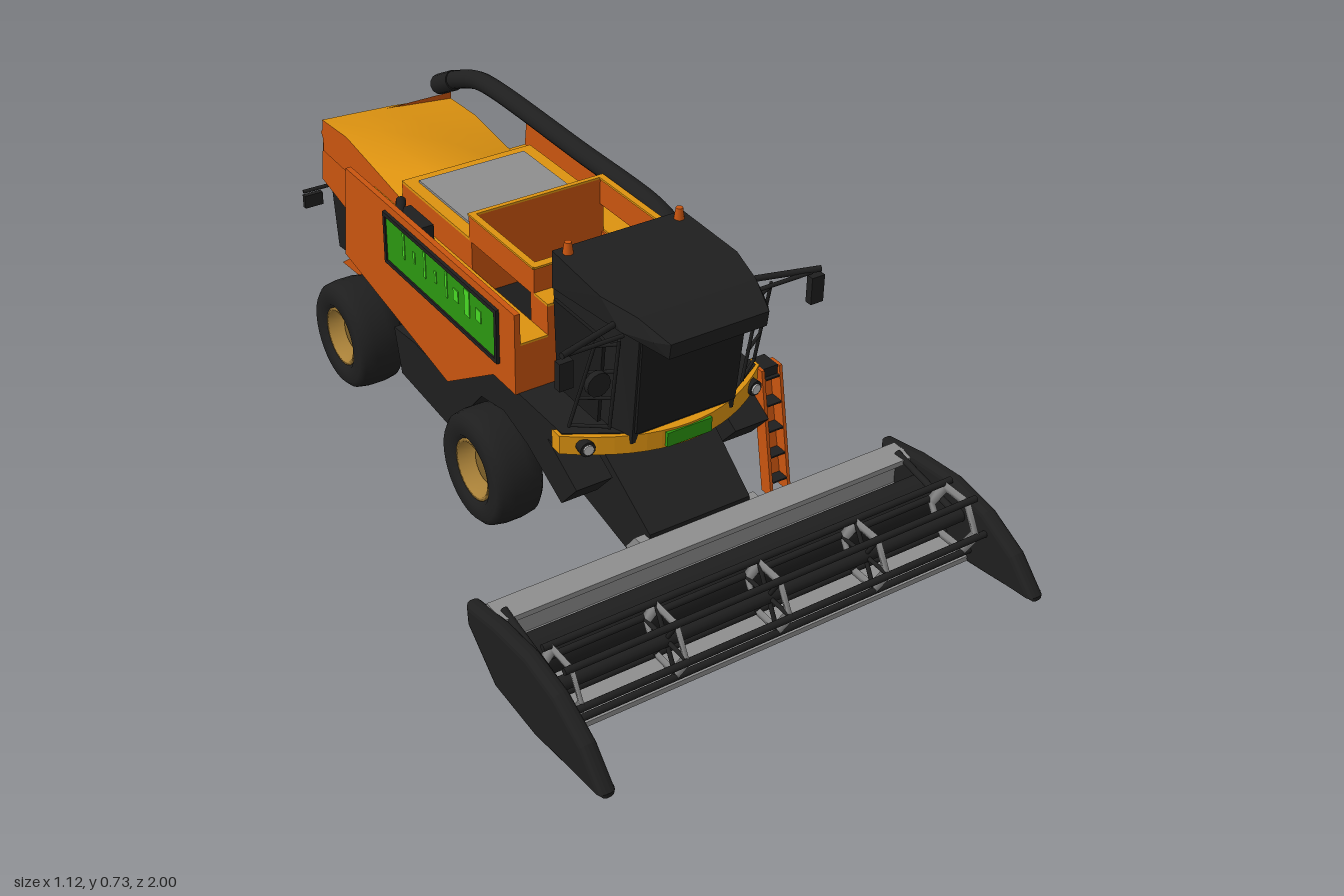
import * as THREE from 'three';
import { ConvexGeometry } from 'three/addons/geometries/ConvexGeometry.js';

const mat = (name, color, extra = {}) =>
  Object.assign(new THREE.MeshStandardMaterial({ color, ...extra }), { name });

export function createModel() {
  const root = new THREE.Group();
  root.name = 'combineHarvester';
  const orange = mat('orange', 0xc9540f);
  const yellow = mat('yellow', 0xdc9210, { side: THREE.DoubleSide });
  const black = mat('black', 0x1f1f1f);
  const glass = mat('darkGlass', 0x1a1a1a);
  const grey = mat('grey', 0x8e8e8e);
  const green = mat('green', 0x2c9610);
  const lime = mat('lime', 0x48d824);
  const gold = mat('hubGold', 0xa88038);
  const darkGold = mat('hubDarkGold', 0x80622a);
  const lamp = mat('lampWhite', 0xc0c0c0);

  // ---- helpers ----
  const V = (p) => new THREE.Vector3(...p);
  const add = (name, geo, m, parent = root) => {
    const mesh = new THREE.Mesh(geo, m);
    mesh.name = name;
    parent.add(mesh);
    return mesh;
  };
  // box given by its minimum and maximum corners
  const box = (name, m, a, b, parent) => {
    const g = new THREE.BoxGeometry(b[0] - a[0], b[1] - a[1], b[2] - a[2]);
    g.translate((a[0] + b[0]) / 2, (a[1] + b[1]) / 2, (a[2] + b[2]) / 2);
    return add(name, g, m, parent);
  };
  // side profile of [z, y] points extruded from x0 to x1
  const plate = (name, m, pts, x0, x1, parent, bevel = 0) => {
    const g = new THREE.ExtrudeGeometry(new THREE.Shape(pts.map((p) => new THREE.Vector2(...p))), {
      depth: x1 - x0 - 2 * bevel, bevelEnabled: bevel > 0, bevelThickness: bevel,
      bevelSize: bevel, bevelOffset: -bevel, bevelSegments: 3,
    });
    g.rotateY(-Math.PI / 2).translate(x1 - bevel, 0, 0);
    return add(name, g, m, parent);
  };
  // convex solid from half points, mirrored in x
  const hull = (name, m, pts, parent) =>
    add(name, new ConvexGeometry(pts.flatMap(([x, y, z]) => [V([x, y, z]), V([-x, y, z])])), m, parent);
  const rod = (name, m, a, b, r, parent, r2 = r) => {
    const d = V(b).sub(V(a));
    const mesh = add(name, new THREE.CylinderGeometry(r2, r, d.length(), 12), m, parent);
    mesh.position.copy(V(a).add(V(b)).multiplyScalar(0.5));
    mesh.quaternion.setFromUnitVectors(new THREE.Vector3(0, 1, 0), d.normalize());
    return mesh;
  };
  // builds the +x version of a part group and its mirror image
  const bothSides = (name, build) => {
    for (const s of [1, -1]) {
      const g = new THREE.Group();
      g.name = (s > 0 ? 'left' : 'right') + name;
      g.scale.x = s;
      build(g);
      root.add(g);
    }
  };

  // ---- main body: centre with open grain tank ----
  plate('bodyCentre', orange, [[0.185, 0.38], [0.185, 0.575], [0.115, 0.575], [0.115, 0.43], [-0.14, 0.43],
    [-0.14, 0.575], [-0.47, 0.575], [-0.47, 0.48], [-0.62, 0.48], [-0.63, 0.33], [-0.125, 0.25], [0.07, 0.38]], -0.175, 0.175);
  box('tankFloor', glass, [-0.165, 0.43, -0.14], [0.165, 0.436, 0.115]);
  box('tankFrontWall', orange, [-0.175, 0.575, 0.115], [0.175, 0.64, 0.13]);
  box('tankRearWall', orange, [-0.165, 0.575, -0.148], [0.165, 0.64, -0.14]);
  box('tankRearPlate', grey, [-0.03, 0.58, -0.152], [0.165, 0.635, -0.148]);
  box('tankFrontRim', yellow, [-0.175, 0.64, 0.112], [0.175, 0.645, 0.133]);
  box('tankRearRim', yellow, [-0.175, 0.64, -0.15], [0.175, 0.645, -0.138]);
  box('frontDeck', yellow, [-0.175, 0.575, 0.13], [0.175, 0.581, 0.185]);
  box('rearDeck', yellow, [-0.175, 0.575, -0.47], [0.175, 0.582, -0.15]);
  box('engineCover', grey, [-0.145, 0.58, -0.44], [0.14, 0.588, -0.18]);

  const sideProfile = [[0.185, 0.38], [0.185, 0.58], [-0.6, 0.58], [-0.632, 0.33], [-0.125, 0.24], [0.09, 0.38]];
  bothSides('BodySide', (g) => {
    plate('sidePanel', orange, sideProfile, 0.243, 0.257, g);
    plate('shoulder', orange, sideProfile.map(([z, y]) => [z, Math.min(y, 0.5)]), 0.17, 0.243, g);
    box('shoulderDeck', yellow, [0.175, 0.5, -0.61], [0.243, 0.505, 0.185], g);
    box('tankSideWall', orange, [0.165, 0.575, -0.15], [0.175, 0.64, 0.13], g);
    box('tankSideRim', yellow, [0.162, 0.64, -0.15], [0.178, 0.645, 0.13], g);
    // framed side window with bright slats
    box('sideWindow', green, [0.257, 0.43, -0.395], [0.261, 0.555, 0.115], g);
    for (const y of [0.425, 0.55]) box('windowFrameRail', black, [0.257, y, -0.4], [0.265, y + 0.01, 0.12], g);
    for (const z of [-0.4, 0.11]) box('windowFramePost', black, [0.257, 0.425, z], [0.265, 0.56, z + 0.01], g);
    for (let i = 0; i < 8; i++) {
      const z = 0.05 - i * 0.05, h = 0.02 + 0.012 * ((i * 2) % 4), w = i < 3 ? 0.022 : 0.009;
      box('windowSlat', lime, [0.261, 0.5 - h / 2, z - w], [0.263, 0.5 + h, z], g);
    }
    box('rearMarker', grey, [0.19, 0.39, -0.632], [0.235, 0.45, -0.615], g);
    // dark lower flank, wheel arch and rear skirts
    plate('frontFender', black, [[0.42, 0.27], [0.25, 0.365], [0.17, 0.385], [0.07, 0.375], [-0.125, 0.245], [-0.3, 0.25],
      [-0.4, 0.24], [-0.37, 0.125], [-0.04, 0.1], [-0.05, 0.2], [0.02, 0.28], [0.12, 0.3], [0.22, 0.27], [0.36, 0.2]],
    0.16, 0.25, g);
    plate('rearFender', orange, [[-0.38, 0.18], [-0.42, 0.285], [-0.62, 0.335], [-0.63, 0.27],
      [-0.56, 0.3], [-0.46, 0.26]], 0.185, 0.215, g);
    plate('rearSkirt', orange, [[-0.56, 0.33], [-0.63, 0.33], [-0.82, 0.19], [-0.68, 0.2], [-0.6, 0.28]], 0.172, 0.18, g);
    rod('rearLampArm', black, [0.17, 0.38, -0.89], [0.24, 0.375, -0.9], 0.005, g);
    box('rearLamp', black, [0.19, 0.33, -0.905], [0.24, 0.365, -0.892], g);
    box('rearLampLens', orange, [0.195, 0.335, -0.909], [0.22, 0.36, -0.905], g);
  });
  box('airIntake', black, [-0.245, 0.505, -0.39], [-0.195, 0.56, -0.28]);
  rod('intakeElbow', black, [-0.235, 0.55, -0.37], [-0.2, 0.555, -0.43], 0.012);

  // ---- rear hood ----
  hull('hoodBody', orange, [[0.178, 0.48, -0.55], [0.178, 0.52, -0.75], [0.178, 0.53, -0.89], [0.178, 0.39, -0.915],
    [0.178, 0.33, -0.63], [0.178, 0.33, -0.55]]);
  // each row: z, then heights across the hood
  const rows = [[-0.47, 0.535, 0.578, 0.578, 0.51], [-0.6, 0.555, 0.578, 0.576, 0.525],
    [-0.75, 0.577, 0.578, 0.573, 0.545], [-0.885, 0.568, 0.564, 0.557, 0.54]];
  const xs = [-0.18, -0.1, 0.02, 0.18], pos = [], idx = [];
  rows.forEach(([z, ...ys]) => xs.forEach((x, i) => pos.push(x, ys[i], z)));
  for (let r = 0; r < 3; r++) for (let c = 0; c < 3; c++) {
    const a = r * 4 + c, b = a + 4;
    idx.push(a, a + 1, b, a + 1, b + 1, b);
  }
  const hoodGeo = new THREE.BufferGeometry();
  hoodGeo.setAttribute('position', new THREE.Float32BufferAttribute(pos, 3));
  hoodGeo.setIndex(idx);
  hoodGeo.computeVertexNormals();
  add('hoodTop', hoodGeo, yellow);
  // orange side strips under the hood edges
  for (const [x, i] of [[-0.18, 1], [0.176, 4]])
    plate('hoodSide', orange, [...rows.map((r) => [r[0], r[i]]), [-0.89, 0.48], [-0.47, 0.47]], x, x + 0.004);
  hull('hoodTailTop', orange, [[0.18, 0.56, -0.872], [0.18, 0.53, -0.897], [0.18, 0.5, -0.88]]);
  hull('rearWindow', green, [[0.14, 0.52, -0.896], [0.14, 0.41, -0.915], [0.14, 0.52, -0.9], [0.14, 0.41, -0.92]]);
  for (let i = 0; i < 4; i++) {
    const slat = box('rearWindowSlat', lime, [-0.009, -0.02, -0.002], [0.009, 0.02, 0.002]);
    slat.position.set(-0.09 + i * 0.055, 0.465, -0.911);
    slat.rotation.x = 0.18;
  }
  hull('strawChute', black, [[0.17, 0.34, -0.62], [0.165, 0.385, -0.89], [0.15, 0.19, -0.9], [0.15, 0.2, -0.8], [0.17, 0.31, -0.64]]);
  plate('chuteApron', orange, [[-0.6, 0.335], [-0.64, 0.31], [-0.73, 0.248], [-0.73, 0.24], [-0.63, 0.303], [-0.6, 0.325]], -0.172, 0.172);

  // ---- underbody ----
  plate('underbody', black, [[0.25, 0.35], [-0.62, 0.34], [-0.6, 0.24], [-0.37, 0.13], [-0.04, 0.09], [0.2, 0.16]], -0.17, 0.17);
  rod('frontAxle', black, [-0.25, 0.15, 0.097], [0.25, 0.15, 0.097], 0.035);
  rod('rearAxle', black, [-0.25, 0.15, -0.557], [0.25, 0.15, -0.557], 0.028);
  box('rearAxleMount', black, [-0.05, 0.14, -0.6], [0.05, 0.27, -0.5]);

  // ---- wheels ----
  const lathe = (pts, n) => new THREE.LatheGeometry(pts.map((p) => new THREE.Vector2(...p)), n);
  const tyreProfile = [[0.07, -0.045], [0.085, -0.06], [0.118, -0.06], [0.131, -0.048], [0.136, -0.02], [0.136, 0.02],
    [0.131, 0.048], [0.118, 0.06], [0.085, 0.06], [0.07, 0.045]];
  bothSides('Wheels', (g) => {
    for (const z of [0.097, -0.557]) {
      const w = new THREE.Group();
      w.name = z > 0 ? 'frontWheel' : 'rearWheel';
      w.position.set(0.268, 0.152, z);
      w.rotation.z = -Math.PI / 2;
      add('tyre', lathe(tyreProfile, 36), black, w);
      add('rim', lathe([[0, -0.05], [0.072, -0.05], [0.074, 0.052], [0.066, 0.052], [0.05, 0.015], [0, 0.015]], 28), gold, w);
      add('hubCap', lathe([[0.045, 0.015], [0.043, 0.02], [0, 0.02]], 24), darkGold, w);
      g.add(w);
    }
  });

  // ---- cab ----
  hull('cabShell', black, [[0.15, 0.355, 0.187], [0.165, 0.69, 0.187], [0.15, 0.355, 0.39], [0.13, 0.36, 0.445],
    [0.16, 0.66, 0.43], [0.135, 0.66, 0.475]]);
  hull('windscreen', glass, [[0.126, 0.39, 0.448], [0.13, 0.63, 0.47], [0.126, 0.39, 0.456], [0.13, 0.63, 0.478]]);
  hull('cabRoof', black, [[0.165, 0.71, 0.187], [0.165, 0.62, 0.187], [0.17, 0.7, 0.38], [0.165, 0.65, 0.45],
    [0.145, 0.693, 0.48], [0.14, 0.66, 0.53], [0.12, 0.665, 0.562], [0.12, 0.628, 0.557], [0.14, 0.64, 0.47]]);
  hull('cabPlatform', black, [[0.25, 0.335, 0.187], [0.25, 0.382, 0.187], [0.25, 0.382, 0.362], [0.25, 0.335, 0.35],
    [0.12, 0.335, 0.435], [0.12, 0.382, 0.44]]);
  bothSides('CabFittings', (g) => {
    plate('sideGlass', glass, [[0.22, 0.4], [0.38, 0.4], [0.41, 0.62], [0.22, 0.62]], 0.152, 0.16, g).rotation.z = -0.035;
    rod('beacon', orange, [0.14, 0.7, 0.21], [0.14, 0.735, 0.21], 0.013, g, 0.008);
    rod('mirrorArm', black, [0.15, 0.655, 0.42], [0.32, 0.66, 0.475], 0.007, g);
    rod('mirrorBrace', black, [0.16, 0.64, 0.45], [0.3, 0.655, 0.47], 0.005, g);
    box('mirror', black, [0.295, 0.58, 0.462], [0.328, 0.645, 0.48], g);
    // handrails beside the cab
    rod('outerRail', black, [0.238, 0.4, 0.37], [0.218, 0.64, 0.44], 0.004, g);
    rod('innerRail', black, [0.17, 0.4, 0.42], [0.175, 0.64, 0.46], 0.004, g);
    for (const t of [0.02, 0.35, 0.65, 0.95])
      rod('railBar', black, [0.238 - 0.02 * t, 0.4 + 0.24 * t, 0.37 + 0.07 * t], [0.17, 0.4 + 0.24 * t, 0.42 + 0.04 * t], 0.004, g);
    rod('headlampBezel', black, [0.211, 0.357, 0.37], [0.216, 0.357, 0.411], 0.018, g);
    rod('headlamp', lamp, [0.211, 0.357, 0.38], [0.216, 0.357, 0.415], 0.012, g);
  });
  rod('roundMirror', black, [-0.215, 0.54, 0.435], [-0.215, 0.54, 0.45], 0.028);

  // curved front bumper
  const arc = (off, n = 16) => Array.from({ length: n + 1 }, (_, i) => {
    const x = -0.258 + (0.516 * i) / n;
    return new THREE.Vector2(x, -(0.468 - 1.55 * x * x - off));
  });
  const bumperShape = new THREE.Shape([...arc(0), ...arc(0.03).reverse()]);
  const bumper = new THREE.ExtrudeGeometry(bumperShape, { depth: 0.045, bevelEnabled: false });
  add('bumper', bumper.rotateX(-Math.PI / 2).translate(0, 0.335, 0), yellow);
  box('bumperPlate', green, [-0.057, 0.34, 0.462], [0.057, 0.375, 0.471]);

  // ---- ladder ----
  const ladder = new THREE.Group();
  ladder.name = 'ladder';
  root.add(ladder);
  for (const x of [0.25, 0.298])
    plate('ladderRail', orange, [[0.35, 0.375], [0.385, 0.375], [0.445, 0.07], [0.41, 0.07]], x, x + 0.008, ladder);
  plate('ladderBack', orange, [[0.35, 0.345], [0.355, 0.345], [0.415, 0.08], [0.41, 0.08]], 0.255, 0.3, ladder);
  for (let i = 0; i < 5; i++) {
    const y = 0.1 + i * 0.062, z = 0.422 - i * 0.0122;
    box('tread', black, [0.256, y, z - 0.018], [0.299, y + 0.004, z + 0.016], ladder);
  }
  box('ladderLanding', black, [0.258, 0.345, 0.33], [0.298, 0.375, 0.38], ladder);

  // ---- unloading auger ----
  const augerPath = new THREE.CatmullRomCurve3([[0.207, 0.5, 0.13], [0.207, 0.575, 0.125], [0.207, 0.615, 0.08], [0.207, 0.63, 0.02],
    [0.207, 0.632, -0.3], [0.207, 0.632, -0.7], [0.207, 0.622, -0.78], [0.207, 0.585, -0.88], [0.207, 0.535, -0.98]].map(V));
  add('unloadingAuger', new THREE.TubeGeometry(augerPath, 60, 0.024, 14), black);
  rod('augerSpout', black, [0.207, 0.575, -0.9], [0.207, 0.53, -0.985], 0.027);
  rod('augerBase', black, [0.207, 0.5, 0.13], [0.207, 0.57, 0.13], 0.029);

  // ---- feeder house ----
  hull('feederHouse', black, [[0.14, 0.34, 0.2], [0.14, 0.32, 0.3], [0.13, 0.17, 0.52], [0.13, 0.06, 0.52], [0.14, 0.14, 0.2]]);
  hull('feederFrame', grey, [[0.155, 0.16, 0.5], [0.155, 0.16, 0.53], [0.15, 0.03, 0.53], [0.15, 0.03, 0.51], [0.15, 0.11, 0.46]]);
  rod('liftCrossBar', yellow, [-0.13, 0.11, 0.21], [0.13, 0.11, 0.21], 0.012);
  bothSides('Lift', (g) => {
    rod('liftCylinder', yellow, [0.1, 0.11, 0.2], [0.1, 0.095, 0.34], 0.014, g);
    rod('liftPiston', lamp, [0.1, 0.095, 0.34], [0.1, 0.08, 0.48], 0.007, g);
    rod('liftStrut', yellow, [0.09, 0.11, 0.21], [0.03, 0.11, 0.1], 0.01, g);
  });

  // ---- cutting header ----
  plate('headerTrough', grey, [[0.8, 0.015], [0.8, 0.028], [0.6, 0.028], [0.545, 0.07], [0.545, 0.152], [0.59, 0.152],
    [0.59, 0.165], [0.525, 0.165], [0.525, 0.06], [0.59, 0.012]], -0.53, 0.53);
  rod('headerAuger', black, [-0.525, 0.083, 0.63], [0.525, 0.083, 0.63], 0.05);
  bothSides('Divider', (g) => {
    plate('divider', black, [[1.0, 0.045], [0.93, 0.115], [0.83, 0.165], [0.72, 0.185], [0.6, 0.175], [0.485, 0.152],
      [0.49, 0.1], [0.6, 0.012], [0.76, 0.002], [0.86, 0.015], [1.0, 0.035]], 0.522, 0.56, g, 0.014);
    rod('reelArm', black, [0.51, 0.165, 0.56], [0.51, 0.125, 0.765], 0.008, g);
  });
  // reel: six bars on dark spokes, with grey hexagonal end and middle rings
  const cy = 0.12, cz = 0.765, R = 0.08;
  rod('reelShaft', black, [-0.52, cy, cz], [0.52, cy, cz], 0.016);
  for (let i = 0; i < 6; i++) {
    const a = (i * Math.PI) / 3, y = cy + R * Math.sin(a), z = cz + R * Math.cos(a);
    rod('reelBar', black, [-0.52, y, z], [0.52, y, z], 0.008);
    for (const x of [-0.255, 0, 0.255]) rod('reelSpoke', black, [x, cy, cz], [x, y, z], 0.005);
  }
  for (const x of [-0.5, -0.255, 0, 0.255, 0.5]) {
    const ring = new THREE.TorusGeometry(R - 0.008, 0.015, 4, 6).scale(1, 1, 0.2).rotateY(Math.PI / 2);
    add('reelRing', ring.translate(x, cy, cz), grey);
  }

  return root;
}
